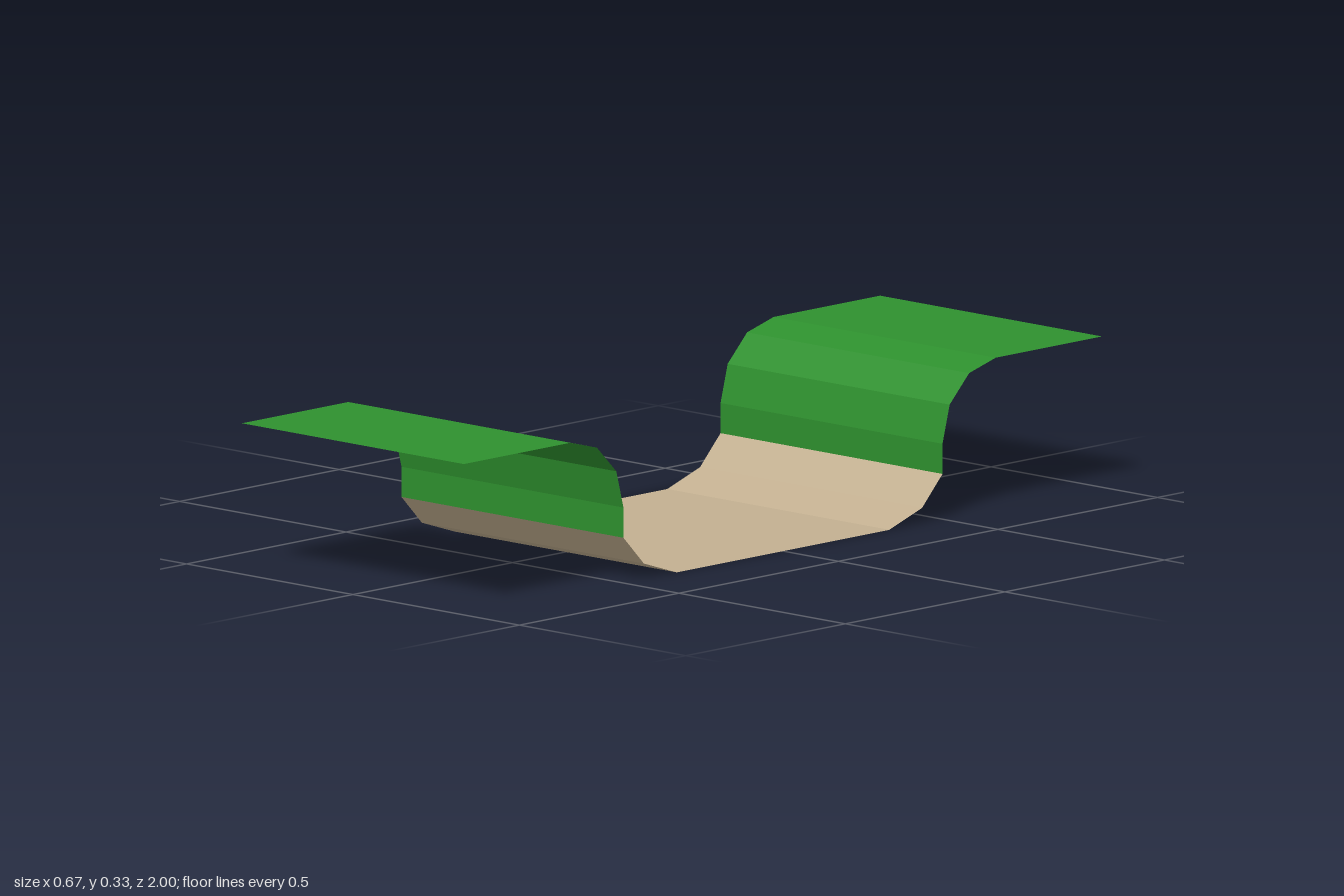
import * as THREE from 'three';

const WIDTH = 0.667;
const green = new THREE.MeshStandardMaterial({ color: 0x2e902e, side: THREE.DoubleSide, flatShading: true });
const tan = new THREE.MeshStandardMaterial({ color: 0xc2af90, side: THREE.DoubleSide, flatShading: true });

// Thin faceted sheet across x, following a [z, y] profile ordered by rising z
function sheet(name, profile, material) {
  const plane = new THREE.PlaneGeometry(WIDTH, 1, 1, profile.length - 1);
  const pos = plane.attributes.position;
  profile.forEach(([z, y], row) => {
    for (let side = 0; side < 2; side++) {
      const i = row * 2 + side;
      pos.setXYZ(i, pos.getX(i), y, z);
    }
  });
  const geometry = plane.toNonIndexed();
  geometry.computeVertexNormals();
  const mesh = new THREE.Mesh(geometry, material);
  mesh.name = name;
  return mesh;
}

const mirrored = (profile) => profile.map(([z, y]) => [-z, y]).reverse();

export function createModel() {
  const group = new THREE.Group();
  group.name = 'riverChannel';

  // Bank: short vertical wall, rounded shoulder in three facets, flat top
  const r = 1 / 6;
  const bank = [[0.5, 0.1]];
  for (let i = 0; i <= 3; i++) {
    const a = (i * Math.PI) / 6;
    bank.push([2 / 3 - r * Math.cos(a), r + r * Math.sin(a)]);
  }
  bank.push([1, 1 / 3]);

  // Bed: flat floor that curls up to the banks
  const bedSide = [[1 / 3, 0], [0.436, 0.034], [0.5, 0.1]];

  group.add(
    sheet('frontBank', bank, green),
    sheet('backBank', mirrored(bank), green),
    sheet('riverBed', [...mirrored(bedSide), ...bedSide], tan)
  );
  return group;
}
